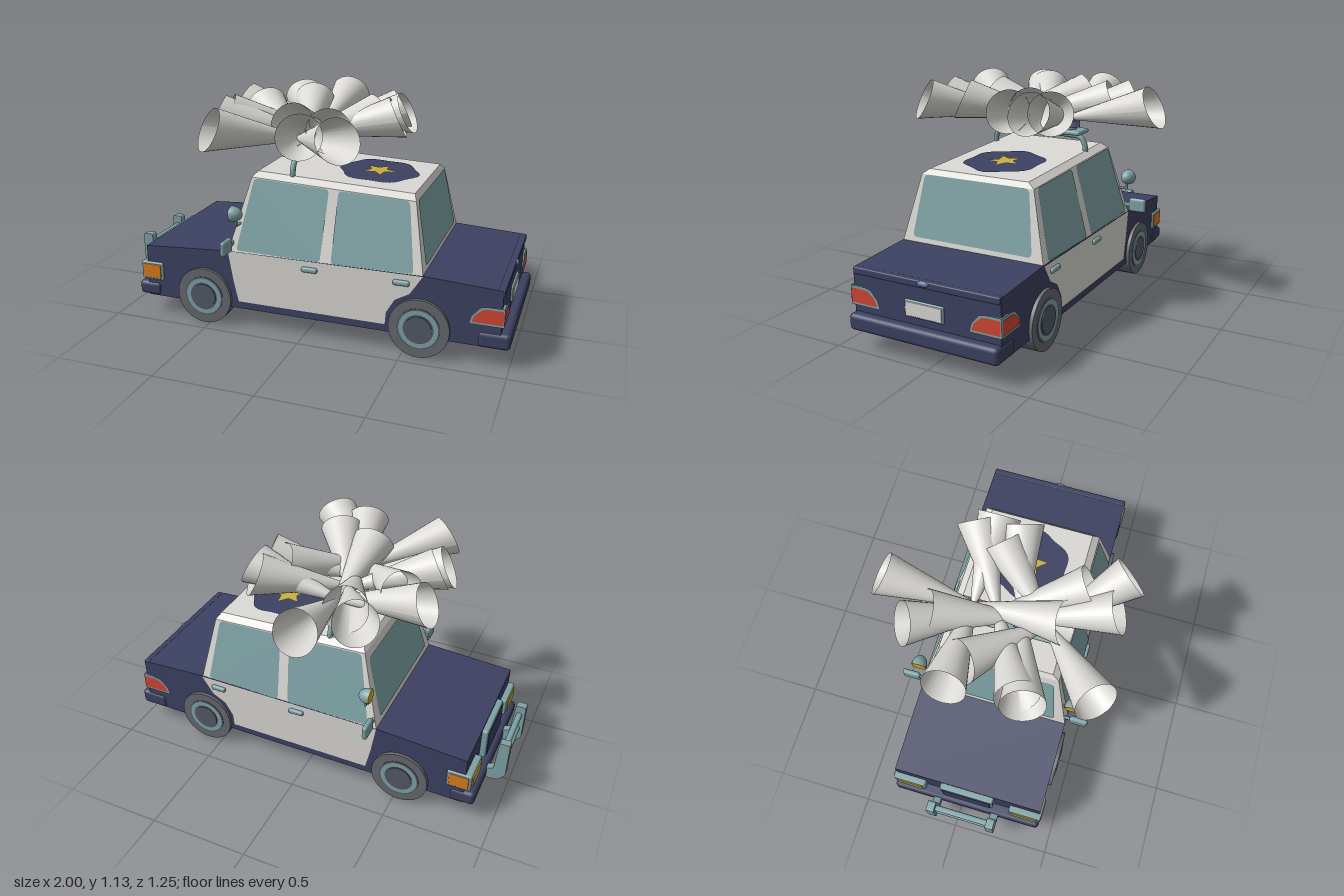
import * as THREE from 'three';
import { RoundedBoxGeometry } from 'three/addons/geometries/RoundedBoxGeometry.js';

const mat = (name, color) => {
  const m = new THREE.MeshStandardMaterial({ color, side: THREE.DoubleSide });
  m.name = name;
  return m;
};

export function createModel() {
  const navy = mat('navy paint', 0x3d4162), white = mat('white paint', 0xdad9d5);
  const teal = mat('teal trim', 0x7fa3a6), rubber = mat('rubber', 0x666970);
  const hubGrey = mat('hub grey', 0x535a67), red = mat('red lens', 0xd24634);
  const amber = mat('amber lens', 0xdc7d1c), yellow = mat('yellow', 0xc8b03c);
  const blue = mat('blue lens', 0x6a78a4);

  const root = new THREE.Group();
  root.name = 'patrolCar';
  const car = new THREE.Group();
  car.name = 'car';
  car.position.z = 0.037;
  root.add(car);

  const add = (name, geo, m, x = 0, y = 0, z = 0) => {
    const mesh = new THREE.Mesh(geo, m);
    mesh.name = name;
    mesh.position.set(x, y, z);
    car.add(mesh);
    return mesh;
  };
  // rounded box given by its limits
  const box = (name, m, x0, x1, y0, y1, z0, z1, r = 0.01) =>
    add(name, new RoundedBoxGeometry(x1 - x0, y1 - y0, Math.abs(z1 - z0), 2, r), m,
      (x0 + x1) / 2, (y0 + y1) / 2, (z0 + z1) / 2);
  const shapeOf = pts => new THREE.Shape(pts.map(p => new THREE.Vector2(...p)));
  // polygon with rounded corners
  const rounded = (pts, r) => {
    const s = new THREE.Shape(), n = pts.length;
    const v = pts.map(p => new THREE.Vector2(...p));
    v.forEach((p, i) => {
      const a = v[(i + n - 1) % n].clone().sub(p).setLength(r).add(p);
      const b = v[(i + 1) % n].clone().sub(p).setLength(r).add(p);
      i ? s.lineTo(a.x, a.y) : s.moveTo(a.x, a.y);
      s.quadraticCurveTo(p.x, p.y, b.x, b.y);
    });
    s.closePath();
    return s;
  };
  // flat shape laid onto a surface by map(u, v) -> [x, y, z]
  const plate = (name, shape, m, map) => {
    const g = new THREE.ShapeGeometry(shape, 6), p = g.attributes.position;
    for (let i = 0; i < p.count; i++) p.setXYZ(i, ...map(p.getX(i), p.getY(i)));
    g.computeVertexNormals();
    return add(name, g, m);
  };

  // lower body and bumpers
  const body = new THREE.ExtrudeGeometry(shapeOf([[-0.85, 0.1], [0.955, 0.1], [0.955, 0.385],
    [0.59, 0.405], [-0.39, 0.4], [-0.85, 0.37]]), { depth: 0.77, bevelEnabled: false });
  add('lowerBody', body, navy, 0, 0, -0.385);
  box('frontBumper', navy, -0.905, -0.78, 0.1, 0.172, -0.392, 0.392, 0.02);
  box('rearBumper', navy, 0.85, 1, 0.095, 0.175, -0.392, 0.392, 0.02);
  box('trunkLip', navy, 0.93, 0.962, 0.355, 0.388, -0.383, 0.383, 0.006);

  // cabin lofted through base, shoulder and roof rings
  const roofY = x => 0.79 - 0.044 * (x + 0.28);
  const ring = (x0, x1, h, y) => [[x0, y(x0), h], [x1, y(x1), h], [x1, y(x1), -h], [x0, y(x0), -h]];
  const rings = [ring(-0.39, 0.59, 0.385, () => 0.398),
    ring(-0.287, 0.528, 0.303, x => roofY(x) - 0.025), ring(-0.268, 0.512, 0.268, roofY)];
  const tri = [];
  const quad = (a, b, c, d) => tri.push(...a, ...b, ...c, ...a, ...c, ...d);
  for (let k = 0; k < 2; k++) for (let i = 0; i < 4; i++) {
    const j = (i + 1) % 4;
    quad(rings[k][i], rings[k][j], rings[k + 1][j], rings[k + 1][i]);
  }
  quad(...rings[2]);
  const cabin = new THREE.BufferGeometry();
  cabin.setAttribute('position', new THREE.Float32BufferAttribute(tri, 3));
  cabin.computeVertexNormals();
  add('cabin', cabin, white);

  // windscreen and rear window
  const endPane = h => rounded([[-0.325, 0.43], [0.325, 0.43], [h, 0.73], [-h, 0.73]], 0.025);
  plate('windscreen', endPane(0.283), teal, (z, y) => [-0.395 + 0.103 * (y - 0.398) / 0.367, y, z]);
  plate('rearWindow', endPane(0.283), teal, (z, y) => [0.595 - 0.062 * (y - 0.398) / 0.331, y, z]);

  const doorPts = [[-0.39, 0.4], [-0.365, 0.25], [-0.34, 0.138], [0.415, 0.138],
    [0.42, 0.2], [0.46, 0.27], [0.53, 0.31], [0.59, 0.403]];
  const sideZ = (x, y) => 0.39 - 0.082 * (y - 0.398) / (roofY(x) - 0.423);

  for (const s of [1, -1]) {
    const side = s > 0 ? 'left' : 'right';
    // doors, side windows and handles
    plate(side + 'Doors', shapeOf(doorPts), white, (x, y) => [x, y, s * 0.389]);
    const panes = [[[-0.345, 0.41], [0.09, 0.405], [0.11, 0.745], [-0.272, 0.762]],
      [[0.145, 0.405], [0.545, 0.41], [0.5, 0.73], [0.157, 0.743]]];
    panes.forEach((p, i) => plate(side + 'Window' + (i + 1), rounded(p, 0.02), teal,
      (x, y) => [x, y, s * sideZ(x, y)]));
    for (const x of [0.04, 0.49])
      box(side + 'DoorHandle', teal, x - 0.04, x + 0.04, 0.348, 0.374, s * 0.38, s * 0.405);

    // wheels
    for (const x of [-0.525, 0.58]) {
      const disc = (name, r, w, m, z) =>
        add(name, new THREE.CylinderGeometry(r, r, w, 32).rotateX(Math.PI / 2), m, x, 0.146, s * z);
      disc(side + 'Tyre', 0.146, 0.1, rubber, 0.352);
      disc(side + 'WheelRecess', 0.103, 0.005, hubGrey, 0.402);
      disc(side + 'HubCap', 0.064, 0.012, hubGrey, 0.403);
      add(side + 'Rim', new THREE.RingGeometry(0.073, 0.095, 32), teal, x, 0.146, s * 0.407);
    }

    // headlight with wrap-around indicator
    box(side + 'HeadlightFrame', teal, -0.882, -0.76, 0.19, 0.285, s * 0.225, s * 0.394, 0.008);
    box(side + 'Headlight', yellow, -0.888, -0.878, 0.202, 0.274, s * 0.24, s * 0.375, 0.004);
    box(side + 'Indicator', amber, -0.87, -0.772, 0.202, 0.274, s * 0.39, s * 0.398, 0.003);

    // tail light on the rear face and round the corner
    const lamp = (w, y0, y1, o) => rounded([[o, y0], [w, y0], [w * 0.93, y0 + (y1 - y0) * 0.45],
      [w * 0.68, y0 + (y1 - y0) * 0.93], [w * 0.5, y1], [o, y1]], 0.006);
    const rear = d => (u, y) => [0.955 + d, y, s * (0.394 - u)];
    const flank = d => (u, y) => [0.968 - u, y, s * (0.385 + d)];
    box(side + 'TailLightCorner', teal, 0.9, 0.966, 0.212, 0.3, s * 0.33, s * 0.393, 0.004);
    plate(side + 'TailFrameRear', lamp(0.16, 0.21, 0.302, 0), teal, rear(0.012));
    plate(side + 'TailLensRear', lamp(0.146, 0.222, 0.291, 0.004), red, rear(0.015));
    plate(side + 'TailFrameSide', lamp(0.16, 0.21, 0.302, 0), teal, flank(0.009));
    plate(side + 'TailLensSide', lamp(0.146, 0.222, 0.291, 0.004), red, flank(0.012));

    // mirror and spotlight
    box(side + 'Mirror', teal, -0.382, -0.355, 0.408, 0.482, s * 0.4, s * 0.493, 0.013);
    box(side + 'MirrorArm', teal, -0.375, -0.36, 0.432, 0.455, s * 0.36, s * 0.41, 0.005);
    const shell = new THREE.SphereGeometry(0.04, 24, 10, 0, Math.PI * 2, 0, Math.PI / 2);
    add(side + 'SpotlightShell', shell.rotateZ(-Math.PI / 2).scale(1.4, 1, 1), teal, -0.357, 0.6, s * 0.397);
    add(side + 'SpotlightLens', new THREE.CylinderGeometry(0.036, 0.036, 0.008, 24).rotateZ(Math.PI / 2),
      yellow, -0.357, 0.6, s * 0.397);
    box(side + 'SpotlightPost', teal, -0.34, -0.328, 0.535, 0.6, s * 0.391, s * 0.403, 0.004);
    box(side + 'SpotlightArm', teal, -0.34, -0.328, 0.535, 0.547, s * 0.34, s * 0.403, 0.004);

    // push bar upright
    const upright = rounded([[-1, 0.345], [-0.998, 0.15], [-0.96, 0.108], [-0.89, 0.105],
      [-0.89, 0.16], [-0.935, 0.175], [-0.948, 0.345]], 0.012);
    add(side + 'PushBarUpright', new THREE.ExtrudeGeometry(upright, { depth: 0.04, bevelEnabled: false }),
      teal, 0, 0, s * 0.155 - 0.02);
  }

  // push bar crossbars and grille
  for (const y of [0.205, 0.29])
    box('pushBarCrossbar', teal, -0.985, -0.955, y - 0.015, y + 0.015, -0.172, 0.172, 0.012);
  box('grilleFrame', teal, -0.88, -0.84, 0.19, 0.36, -0.14, 0.14, 0.01);
  box('grille', navy, -0.885, -0.877, 0.203, 0.347, -0.127, 0.127, 0.003);

  // number plate and trunk handle
  box('plateFrame', teal, 0.95, 0.964, 0.21, 0.29, -0.103, 0.103, 0.006);
  box('blankPlate', white, 0.96, 0.968, 0.217, 0.283, -0.096, 0.096, 0.003);
  add('trunkHandle', new THREE.SphereGeometry(0.03, 16, 10).scale(0.35, 0.43, 1), blue, 0.962, 0.376, 0);

  // roof badge with star
  const polar = (n, f) => shapeOf(Array.from({ length: n }, (_, i) => {
    const a = i / n * Math.PI * 2, r = f(a, i);
    return [r * Math.cos(a), r * Math.sin(a)];
  }));
  const onRoof = d => (u, v) => [0.265 + u, roofY(0.265 + u) + d, v];
  plate('roofBadge', polar(48, a => 0.192 + 0.01 * Math.cos(6 * a)), navy, onRoof(0.004));
  plate('roofStar', polar(10, (a, i) => i % 2 ? 0.04 : 0.088), yellow, onRoof(0.008));

  // light bar with hoop mount
  const hoop = new THREE.CatmullRomCurve3([[0.262, 0.77], [0.26, 0.81], [0.235, 0.847], [0.18, 0.855],
    [-0.18, 0.855], [-0.235, 0.847], [-0.26, 0.81], [-0.262, 0.77]]
    .map(([z, y]) => new THREE.Vector3(-0.09, y, z)), false, 'centripetal');
  add('lightBarHoop', new THREE.TubeGeometry(hoop, 48, 0.014, 10), teal);
  box('lightBar', teal, -0.15, -0.03, 0.863, 0.886, -0.255, 0.255, 0.01);

  // open horn cone: flat underside, slanted mouth
  const horn = angle => {
    const g = new THREE.CylinderGeometry(1, 1, 1, 28, 1, true), p = g.attributes.position;
    for (let i = 0; i < p.count; i++) {
      const t = p.getY(i) + 0.5, r = 0.014 + 0.093 * t;
      p.setXYZ(i, 0.445 * t - 0.42 * r * p.getX(i), 0.907 * r * (1 + p.getX(i)), r * p.getZ(i));
    }
    g.computeVertexNormals();
    return g.rotateY(angle);
  };

  // four beacons, each with four horns at right angles
  [[-0.18, 0], [-0.06, 28], [0.06, 16], [0.18, 44]].forEach(([z, deg], i) => {
    add('beaconBase', new THREE.CylinderGeometry(0.032, 0.032, 0.02, 24), teal, -0.09, 0.89, z);
    add('beacon', new THREE.CylinderGeometry(0.047, 0.047, 0.034, 24), blue, -0.09, 0.914, z);
    if (!i) add('beaconCap', new THREE.CylinderGeometry(0.03, 0.03, 0.03, 20), red, -0.09, 0.945, z);
    for (let k = 0; k < 4; k++)
      add('horn', horn((deg + 90 * k) * Math.PI / 180), white, -0.09, 0.932, z);
  });
  return root;
}
